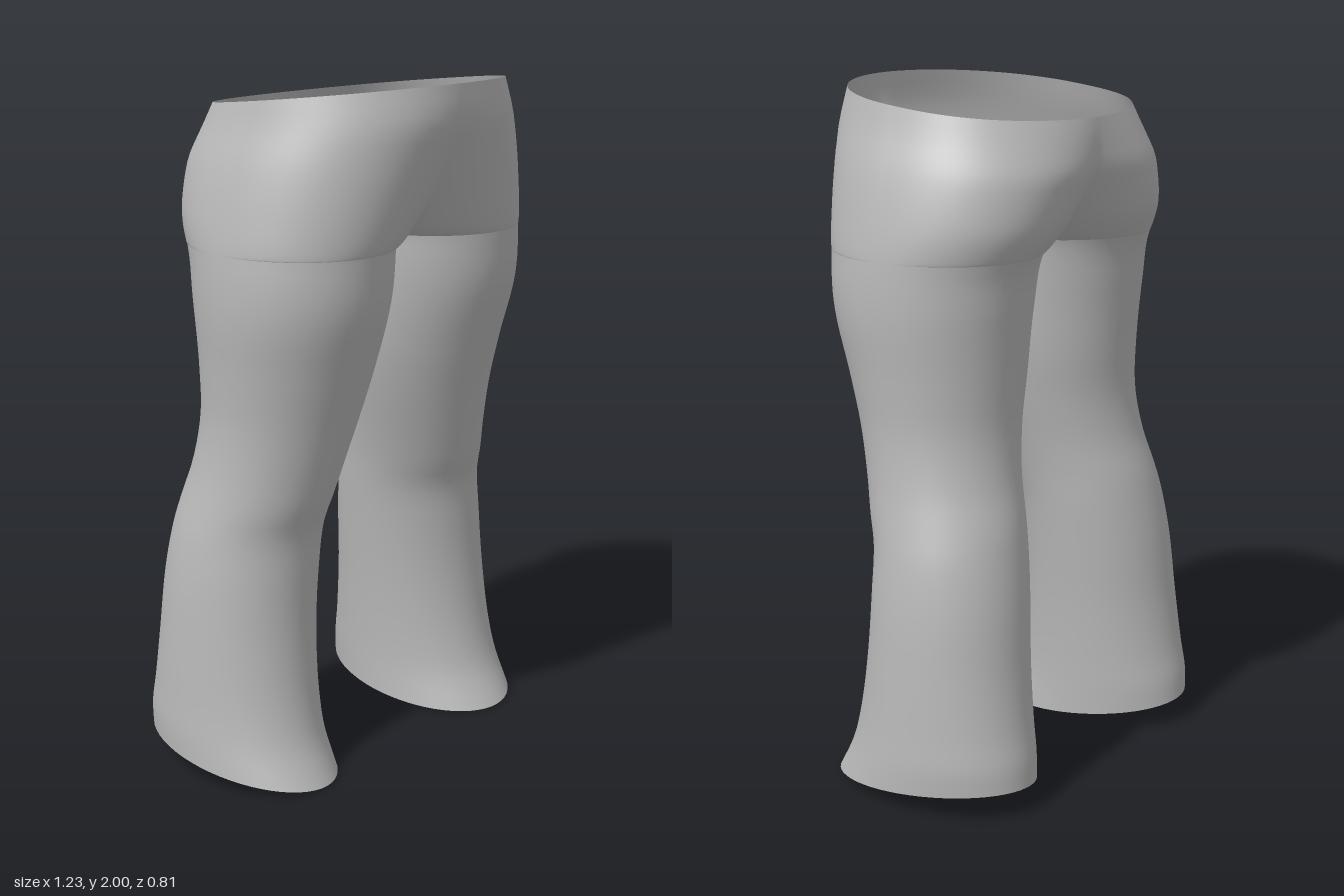
import * as THREE from 'three';
import { mergeVertices } from 'three/addons/utils/BufferGeometryUtils.js';

const CROTCH = 1.55, TOP = 2, HEM_Y = 0;
const AROUND = 56;

// Leg profile by height: y, inner x, outer x, front z, back z
const PROFILE = [
  [0.00, 0.18, 0.615, 0.235, -0.41],
  [0.10, 0.18, 0.615, 0.18, -0.405],
  [0.20, 0.177, 0.61, 0.15, -0.39],
  [0.40, 0.165, 0.60, 0.12, -0.365],
  [0.60, 0.145, 0.585, 0.11, -0.345],
  [0.74, 0.128, 0.565, 0.115, -0.322],
  [0.81, 0.118, 0.55, 0.138, -0.307],
  [0.92, 0.095, 0.53, 0.165, -0.275],
  [1.06, 0.06, 0.52, 0.20, -0.255],
  [1.20, 0.03, 0.528, 0.24, -0.26],
  [1.40, 0.008, 0.545, 0.297, -0.28],
  [1.55, 0, 0.54, 0.31, -0.31],
  [1.65, 0, 0.525, 0.315, -0.38],
  [1.80, 0, 0.49, 0.32, -0.43],
  [1.92, 0, 0.45, 0.32, -0.43],
  [2.00, 0, 0.43, 0.32, -0.43],
];
const profile = new THREE.CubicInterpolant(
  PROFILE.map((r) => r[0]), PROFILE.flatMap((r) => r.slice(1)), 4);

// One point of the left half; t runs from the inner front, round the outside, to the inner back
function surfacePoint(y, t) {
  let [inner, outer, front, back] = profile.evaluate(y);
  if (y >= CROTCH) inner = 0;
  const a = t * Math.PI;
  const cx = (inner + outer) / 2, rx = (outer - inner) / 2;
  const cz = (front + back) / 2, rz = (front - back) / 2;
  let x = cx - rx * Math.cos(2 * a);
  let z = cz + rz * Math.sin(2 * a);

  // Above the crotch the closed leg section opens into half of the hip section
  const rise = Math.max(0, (y - CROTCH) / (TOP - CROTCH));
  if (rise > 0) {
    const s = Math.pow(rise, 0.3);
    const c = Math.cos(a);
    const hipFront = Math.min(0.43, 0.40 + 0.3 * (TOP - y));
    const hipBack = Math.min(0.41, 0.35 + 0.3 * (TOP - y));
    const hipZ = 0.03 + (c > 0
      ? (hipFront - 0.03) * c
      : -(hipBack + 0.03) * Math.pow(-c, 0.75));
    x += (outer * Math.sin(a) - x) * s;
    z += (hipZ - z) * s;
  }

  // Waist slopes down to the back; hem rises to the back and the outside
  const hem = Math.pow(Math.max(0, 1 - y / 0.5), 2);
  const yy = y + (z - 0.4) * 0.113 * rise * rise
    + hem * (0.045 - 0.117 * (z + 0.09) + 0.07 * (x - 0.4));
  return [Math.max(0, x), yy, z];
}

function trousersGeometry() {
  // Row heights, crowded towards the crotch
  const rows = [];
  for (let i = 0; i <= 24; i++) {
    rows.push(CROTCH + (TOP - CROTCH) * Math.pow(1 - i / 24, 1 / 0.45));
  }
  for (let i = 1; i <= 48; i++) rows.push(CROTCH + (HEM_Y - CROTCH) * i / 48);

  const position = [], index = [];
  for (const side of [1, -1]) {
    const base = position.length / 3;
    for (const y of rows) {
      for (let j = 0; j <= AROUND; j++) {
        const [x, py, z] = surfacePoint(y, j / AROUND);
        position.push(side * x, py, z);
      }
    }
    for (let i = 0; i < rows.length - 1; i++) {
      for (let j = 0; j < AROUND; j++) {
        const a = base + i * (AROUND + 1) + j, b = a + 1;
        const c = a + AROUND + 1, d = c + 1;
        if (side > 0) index.push(a, c, b, b, c, d);
        else index.push(a, b, c, b, d, c);
      }
    }
  }
  let geometry = new THREE.BufferGeometry();
  geometry.setAttribute('position', new THREE.Float32BufferAttribute(position, 3));
  geometry.setIndex(index);
  geometry = mergeVertices(geometry, 1e-4); // weld the centre and inner leg seams
  geometry.computeVertexNormals();
  return geometry;
}

export function createModel() {
  const cloth = new THREE.MeshStandardMaterial({ color: 0xb8b8b8, side: THREE.DoubleSide });
  cloth.name = 'grey cloth';

  const trousers = new THREE.Mesh(trousersGeometry(), cloth);
  trousers.name = 'trousers';

  const group = new THREE.Group();
  group.name = 'trousersModel';
  group.add(trousers);
  return group;
}
